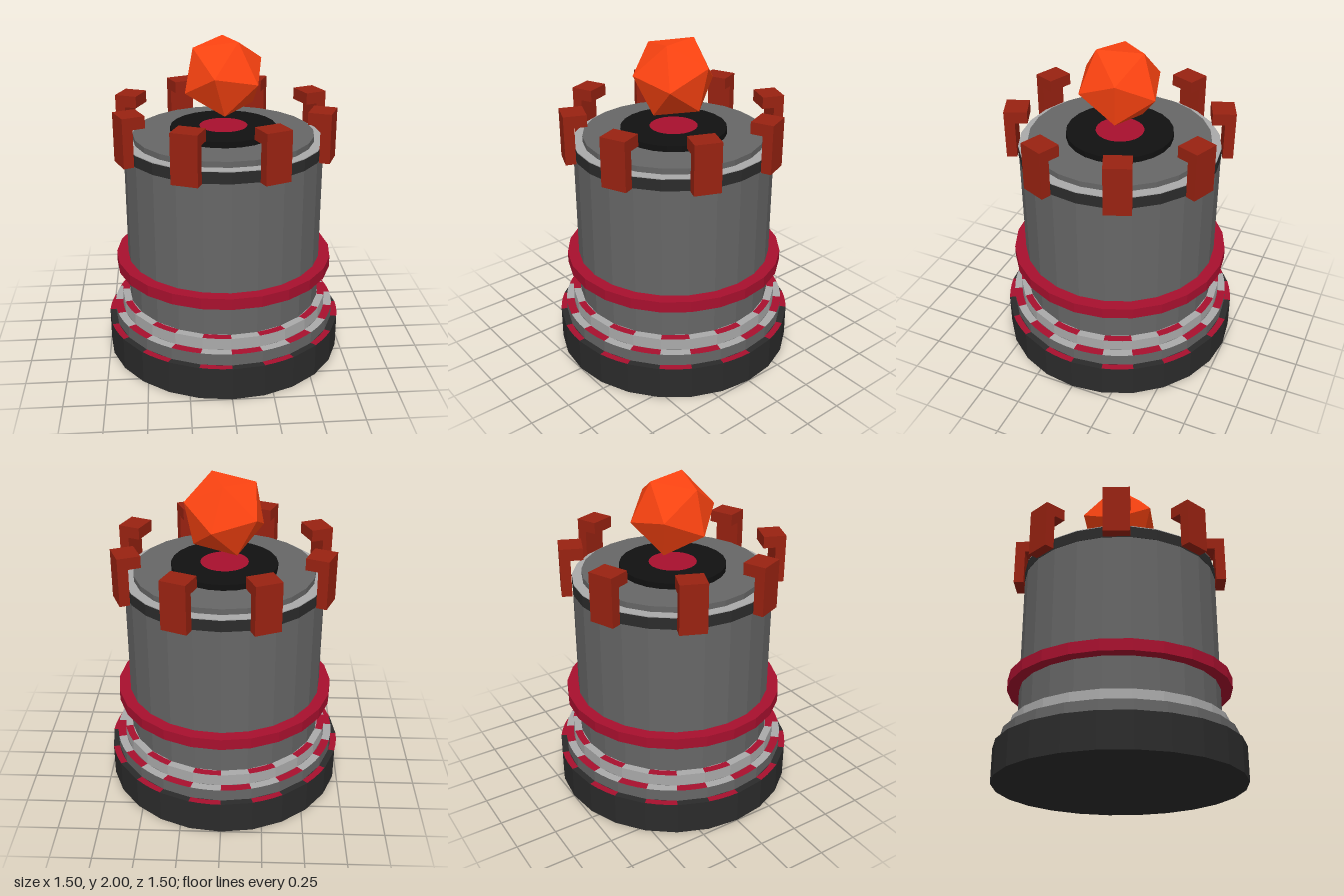
import * as THREE from 'three';
import { mergeGeometries } from 'three/addons/utils/BufferGeometryUtils.js';

const SIDES = 24;
const STEP = (Math.PI * 2) / SIDES;

const paint = (color) => new THREE.MeshStandardMaterial({ color, flatShading: true });
const mats = {
  body: paint(0x666666), light: paint(0xaaaaaa), dark: paint(0x2b2b2b), black: paint(0x111111),
  crimson: paint(0xa8102e), rust: paint(0x992211), gem: paint(0xff4411),
};

export function createModel() {
  const model = new THREE.Group();
  model.name = 'gemPedestal';

  const add = (name, geometry, material, parent = model) => {
    const mesh = new THREE.Mesh(geometry, material);
    mesh.name = name;
    parent.add(mesh);
    return mesh;
  };

  // A 24-sided drum between two heights
  const drum = (name, radius, y0, y1, material) => {
    const g = new THREE.CylinderGeometry(radius, radius, y1 - y0, SIDES);
    add(name, g.translate(0, (y0 + y1) / 2, 0), material);
  };

  // Every second segment of a flat ring lying on a ledge
  const ledgeSegments = (name, inner, outer, y, first, material) => {
    const parts = [];
    for (let k = first; k < SIDES; k += 2) {
      parts.push(new THREE.RingGeometry(inner, outer, 1, 1, k * STEP, STEP));
    }
    add(name, mergeGeometries(parts).rotateX(-Math.PI / 2).translate(0, y + 0.002, 0), material);
  };

  // Stepped base
  drum('base', 0.75, 0, 0.21, mats.dark);
  drum('lowerStep', 0.71, 0.21, 0.285, mats.body);
  drum('upperStep', 0.66, 0.285, 0.36, mats.light);
  ledgeSegments('baseTrim', 0.71, 0.75, 0.21, 1, mats.crimson);
  ledgeSegments('lowerStepTrim', 0.66, 0.71, 0.285, 0, mats.crimson);
  ledgeSegments('lowerStepInlay', 0.66, 0.71, 0.285, 1, mats.light);
  ledgeSegments('upperStepTrim', 0.615, 0.66, 0.36, 1, mats.crimson);

  // Column with its belt and collar
  drum('column', 0.613, 0.36, 1.32, mats.body);
  drum('belt', 0.685, 0.57, 0.64, mats.crimson);
  drum('collar', 0.615, 1.32, 1.39, mats.dark);
  drum('collarTop', 0.614, 1.39, 1.395, mats.light);
  drum('topPlate', 0.555, 1.395, 1.43, mats.body);
  drum('socket', 0.325, 1.43, 1.467, mats.black);
  add('socketGlow', new THREE.CircleGeometry(0.147, SIDES).rotateX(-Math.PI / 2).translate(0, 1.47, 0), mats.crimson);

  // Eight hooked claws around the rim
  const hook = new THREE.Shape([
    [0.618, 1.32], [0.681, 1.32], [0.681, 1.62], [0.542, 1.62], [0.542, 1.547], [0.618, 1.547],
  ].map(([r, y]) => new THREE.Vector2(r, y)));
  const clawGeometry = new THREE.ExtrudeGeometry(hook, { depth: 0.16, bevelEnabled: false }).translate(0, 0, -0.08);
  const claws = new THREE.Group();
  claws.name = 'claws';
  model.add(claws);
  for (let i = 0; i < 8; i++) {
    add('claw', clawGeometry, mats.rust, claws).rotation.y = ((i + 0.5) * Math.PI) / 4;
  }

  // Floating tilted gem, oriented by the axes of its top edge
  const xAxis = new THREE.Vector3(0.262, 0.043, 0.066).normalize();
  const zAxis = xAxis.clone().cross(new THREE.Vector3(-0.118, 0.393, 0.154)).normalize();
  const yAxis = zAxis.clone().cross(xAxis);
  const gem = add('gem', new THREE.IcosahedronGeometry(0.26, 0), mats.gem);
  gem.quaternion.setFromRotationMatrix(new THREE.Matrix4().makeBasis(xAxis, yAxis, zAxis));
  gem.position.y = 1.779;

  return model;
}
